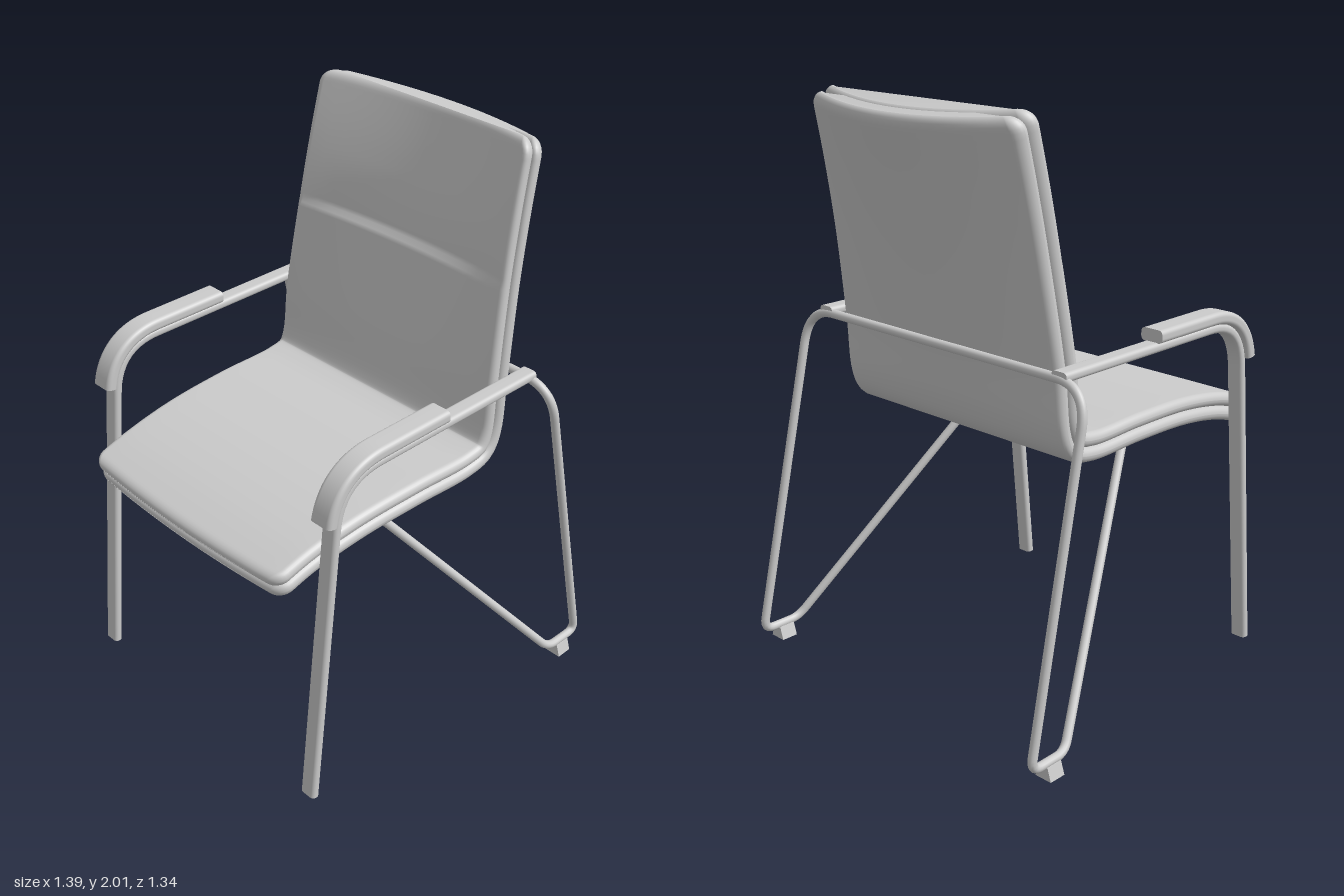
import * as THREE from 'three';

const V = (x, y, z) => new THREE.Vector3(x, y, z);
const material = new THREE.MeshStandardMaterial({ color: 0xcccccc });

function addMesh(parent, name, geometry) {
  const mesh = new THREE.Mesh(geometry, material);
  mesh.name = name;
  parent.add(mesh);
  return mesh;
}

// Rounded rectangle outline, counter-clockwise, with extra points on the long sides
function section(w, h, r, steps = 12) {
  const pts = [];
  const corner = (cx, cy, start) => {
    for (let i = 0; i <= 6; i++) {
      const a = start + (i / 6) * Math.PI / 2;
      pts.push([cx + r * Math.cos(a), cy + r * Math.sin(a)]);
    }
  };
  const side = (from, to, y) => {
    for (let i = 1; i < steps; i++) pts.push([from + (to - from) * i / steps, y]);
  };
  corner(w - r, h - r, 0);
  side(w - r, r - w, h);
  corner(r - w, h - r, Math.PI / 2);
  corner(r - w, r - h, Math.PI);
  side(r - w, w - r, -h);
  corner(w - r, r - h, Math.PI * 1.5);
  return pts;
}

// Skin a list of equal-length rings and cap both ends
function loft(rings) {
  const n = rings[0].length, last = rings.length - 1;
  const pos = [], index = [];
  [...rings, rings[0], rings[last]].forEach(ring => ring.forEach(p => pos.push(p.x, p.y, p.z)));
  for (let k = 0; k < last; k++) {
    for (let i = 0; i < n; i++) {
      const a = k * n + i, b = k * n + (i + 1) % n;
      index.push(a, a + n, b, b, a + n, b + n);
    }
  }
  const c0 = (last + 1) * n, c1 = c0 + n;
  for (let i = 1; i < n - 1; i++) {
    index.push(c0, c0 + i, c0 + i + 1, c1, c1 + i + 1, c1 + i);
  }
  const g = new THREE.BufferGeometry();
  g.setAttribute('position', new THREE.Float32BufferAttribute(pos, 3));
  g.setIndex(index);
  g.computeVertexNormals();
  return g;
}

// Normal of a path lying in the side plane
const sideNormal = t => V(0, -t.z, t.y).normalize();

// Straight runs joined by rounded corners; each corner is [point, cut length]
function roundedPath(corners, closed) {
  const path = new THREE.CurvePath();
  const n = corners.length;
  const toward = (i, j) => {
    const [p, cut] = corners[i];
    return p.clone().add(corners[j][0].clone().sub(p).setLength(cut));
  };
  for (let i = 0; i < (closed ? n : n - 1); i++) {
    const j = (i + 1) % n, k = (i + 2) % n;
    const start = corners[i][1] ? toward(i, j) : corners[i][0];
    const end = corners[j][1] ? toward(j, i) : corners[j][0];
    path.add(new THREE.LineCurve3(start, end));
    if (corners[j][1]) path.add(new THREE.QuadraticBezierCurve3(end, corners[j][0], toward(j, k)));
  }
  return path;
}

// Flat bar swept along a path in the side plane
function flatBar(path, w, h, r, offset = 0, from = 0, to = 1) {
  const outline = section(w, h, r, 2);
  const rings = [];
  for (let k = 0; k <= 90; k++) {
    const u = from + (to - from) * k / 90;
    const p = path.getPointAt(u), nrm = sideNormal(path.getTangentAt(u));
    rings.push(outline.map(([x, v]) => p.clone().addScaledVector(nrm, v + offset).add(V(x, 0, 0))));
  }
  return loft(rings);
}

// Seam between cushion and shell, front edge to top; x holds the half width
const seam = new THREE.CatmullRomCurve3([
  V(0.47, 0.842, 0.665), V(0.475, 0.89, 0.5), V(0.485, 0.922, 0.3), V(0.497, 0.934, 0.05),
  V(0.505, 0.935, -0.19), V(0.506, 0.956, -0.268), V(0.506, 1.02, -0.302), V(0.502, 1.2, -0.337),
  V(0.483, 1.53, -0.418), V(0.472, 1.76, -0.484), V(0.462, 1.982, -0.556),
], false, 'centripetal');

// One layer of the seat: side = 1 for the cushion, -1 for the shell
function seatLayer(side) {
  const length = seam.getLength();
  const ends = [0, 0.001, 0.004, 0.009, 0.016, 0.025, 0.035, 0.047, 0.06];
  const stations = [...ends];
  for (let i = 1; i < 120; i++) {
    const s = length * i / 120;
    if (s > 0.065 && s < length - 0.065) stations.push(s);
  }
  stations.push(...ends.map(d => length - d).reverse());
  const round = (d, r) => d >= r ? r : Math.sqrt(Math.max(0, r * r - (r - d) ** 2));
  const rings = stations.map(s => {
    const p = seam.getPointAt(s / length), t = seam.getTangentAt(s / length).setX(0).normalize();
    const nrm = sideNormal(t), d = Math.min(s, length - s);
    const w = p.x - 0.055 + round(d, 0.055);
    const h = 0.025 * Math.max(0.04, round(d, 0.035) / 0.035);
    // The back wraps around the sitter; its front edge bows outward
    const wrap = p.z < -0.2 ? 0.1 * Math.max(0, (p.y - 1) / 0.98) : 0;
    const slump = 0.02 * Math.max(0, 1 - s / 0.3) - 0.01 * Math.max(0, 1 - (length - s) / 0.3);
    // Upholstery crease across the backrest
    const above = p.y - 1.53;
    const crease = side > 0 && above > 0 && above < 0.2 ? 0.014 * (1 - above / 0.2) ** 2 : 0;
    return section(w, h, h * 0.98, 16).map(([x, v]) => {
      const u2 = (x / p.x) ** 2;
      const lift = v + side * 0.025 + wrap * u2 - (v > 0 ? crease * (1 - u2 * u2) : 0);
      return V(x, p.y, p.z).addScaledVector(nrm, lift).addScaledVector(t, slump * u2);
    });
  });
  return loft(rings);
}

export function createModel() {
  const model = new THREE.Group();
  model.name = 'armchair';

  const seat = new THREE.Group();
  seat.name = 'seat';
  model.add(seat);
  addMesh(seat, 'cushion', seatLayer(1));
  addMesh(seat, 'shell', seatLayer(-1));

  // Front leg and arm bar in one bent piece, with a pad on top
  const legPath = roundedPath([[V(0, 0, 0.592), 0], [V(0, 1.227, 0.478), 0.17], [V(0, 1.227, -0.41), 0]], false);
  const legLength = legPath.getLength();
  const legGeometry = flatBar(legPath, 0.031, 0.0165, 0.014);
  const padGeometry = flatBar(legPath, 0.043, 0.022, 0.016, 0.037, 1.09 / legLength, 1 - 0.435 / legLength);

  // Rear feet taper towards the tube
  const footShape = new THREE.Shape([[-0.032, 0], [0.032, 0], [0.018, 0.045], [-0.018, 0.045]]
    .map(([x, y]) => new THREE.Vector2(x, y)));
  const footGeometry = new THREE.ExtrudeGeometry(footShape, { depth: 0.062, bevelEnabled: false });

  for (const [side, label] of [[1, 'left'], [-1, 'right']]) {
    addMesh(model, label + 'FrontLeg', legGeometry).position.x = side * 0.543;
    addMesh(model, label + 'ArmPad', padGeometry).position.x = side * 0.543;
    addMesh(model, label + 'RearFoot', footGeometry).position.set(side * 0.665, 0, -0.602);
  }

  // Closed loop of bent tube: under the seat, down to the feet, up and behind the back
  const half = [
    [V(0.335, 0.868, 0.155), 0.035], [V(0.665, 0.05, -0.505), 0.04], [V(0.667, 0.05, -0.66), 0.045],
    [V(0.648, 1.218, -0.4), 0.13],
  ];
  const mirrored = half.map(([p, cut]) => [V(-p.x, p.y, p.z), cut]).reverse();
  const frame = roundedPath([...half, ...mirrored], true);
  addMesh(model, 'rearFrame', new THREE.TubeGeometry(frame, 600, 0.0155, 12, true));

  return model;
}
